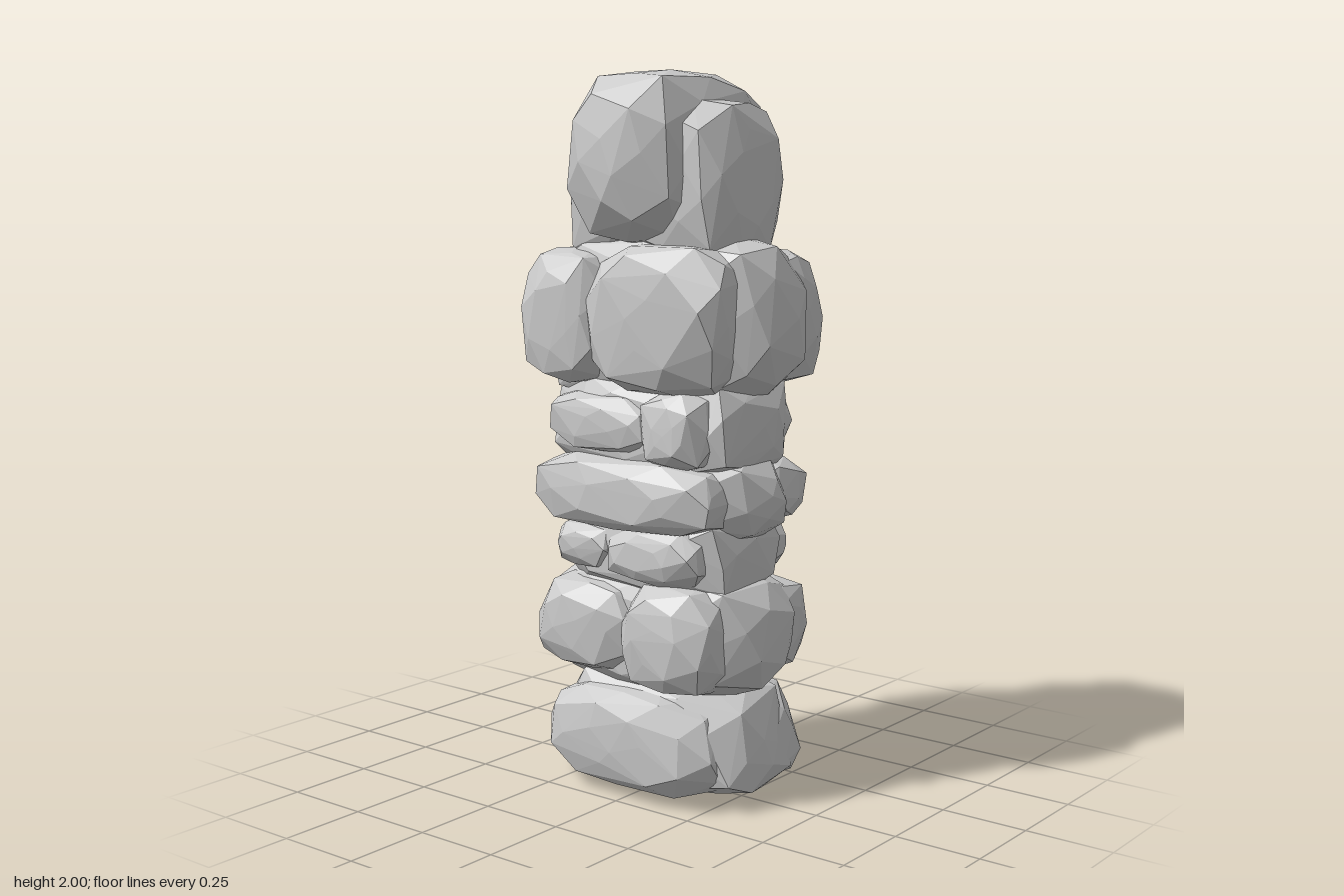
import * as THREE from 'three';
import { ConvexGeometry } from 'three/addons/geometries/ConvexGeometry.js';

const material = new THREE.MeshStandardMaterial({ color: 0xcccccc, flatShading: true });

// Small seeded random generator
function seeded(seed) {
  let s = seed * 7919 + 17;
  return () => (s = (s * 16807) % 2147483647) / 2147483647;
}

// Faceted stone filling the box from min to max; boxy sets squareness, taper narrows the top
function stone(name, min, max, seed, boxy = 4, taper = 0) {
  const rand = seeded(seed);
  const count = 66;
  const points = [];
  for (let i = 0; i < count; i++) {
    const y = 1 - (2 * i + 1) / count;
    const r = Math.sqrt(1 - y * y);
    const angle = i * 2.4 + seed + rand() * 0.3;
    const p = new THREE.Vector3(r * Math.cos(angle), y, r * Math.sin(angle));
    const length = p.toArray().reduce((sum, c) => sum + Math.abs(c) ** boxy, 0) ** (1 / boxy);
    p.multiplyScalar((0.94 + 0.06 * rand()) / length);
    p.x *= 1 - taper * p.y;
    points.push(p);
  }
  const cloud = new THREE.Box3().setFromPoints(points);
  const size = cloud.getSize(new THREE.Vector3());
  const span = max.clone().sub(min);
  for (const p of points) p.sub(cloud.min).divide(size).multiply(span).add(min);
  const mesh = new THREE.Mesh(new ConvexGeometry(points), material);
  mesh.name = name;
  return mesh;
}

const vec = (x, y, z) => new THREE.Vector3(x, y, z);

// Courses from the ground up: half width, facing stones' bottom and top, depth, joint position
const courses = [
  { name: 'baseCourse', w: 0.355, y0: 0.02, y1: 0.31, depth: 0.255, taper: 0.15 },
  { name: 'lowerCourse', w: 0.36, y0: 0.32, y1: 0.62, depth: 0.26, joint: 0, boxy: 3.3 },
  { name: 'lowerNeck', w: 0.3, y0: 0.61, y1: 0.78, depth: 0.23, joint: -0.07, boxy: 5 },
  { name: 'middleCourse', w: 0.36, y0: 0.75, y1: 0.96, depth: 0.26, boxy: 3 },
  { name: 'upperNeck', w: 0.32, y0: 0.94, y1: 1.15, depth: 0.24, joint: 0.07, boxy: 5 },
  { name: 'shoulderCourse', w: 0.395, y0: 1.13, y1: 1.54, depth: 0.27, joint: -0.1, boxy: 3.6 },
];

// A wide cross stone showing at both sides, with facing stones on front and back
function buildCourse({ name, w, y0, y1, depth, joint, boxy = 4, taper = 0 }, seed) {
  const group = new THREE.Group();
  group.name = name;
  group.add(stone('crossStone', vec(-w, Math.max(0, y0 - 0.05), -0.2), vec(w, y1 + 0.04, 0.2), seed, boxy, taper));
  // The back repeats the front's layout turned half round, with its own stones
  ['front', 'back'].forEach((side, i) => {
    const face = new THREE.Group();
    face.name = side + 'Facing';
    face.rotation.y = i * Math.PI;
    const left = -0.92 * w;
    const right = 0.82 * w;
    const s = seed + 3 * i;
    if (joint === undefined) {
      face.add(stone('facingSlab', vec(left, y0, -0.02), vec(right, y1, depth), s + 1, 4, taper));
    } else {
      face.add(stone('smallFacingStone', vec(left, y0 + 0.02, -0.02), vec(joint + 0.02, y1 - 0.02, depth - 0.01), s + 1, 4.5));
      face.add(stone('largeFacingStone', vec(joint - 0.02, y0, -0.02), vec(right, y1, depth), s + 2, 4.5));
    }
    group.add(face);
  });
  return group;
}

export function createModel() {
  const model = new THREE.Group();
  model.name = 'stonePillar';
  courses.forEach((course, i) => model.add(buildCourse(course, 1 + i * 10)));

  // Domed cap stone clasped by a lower stone on each side
  const cap = new THREE.Group();
  cap.name = 'capCourse';
  cap.add(stone('capStone', vec(-0.2, 1.53, -0.29), vec(0.19, 2, 0.29), 71, 3.8));
  cap.add(stone('rightCapSideStone', vec(-0.28, 1.48, -0.19), vec(0.05, 1.95, 0.17), 72, 5));
  cap.add(stone('leftCapSideStone', vec(-0.05, 1.48, -0.19), vec(0.28, 1.92, 0.18), 73, 5));
  model.add(cap);
  return model;
}
